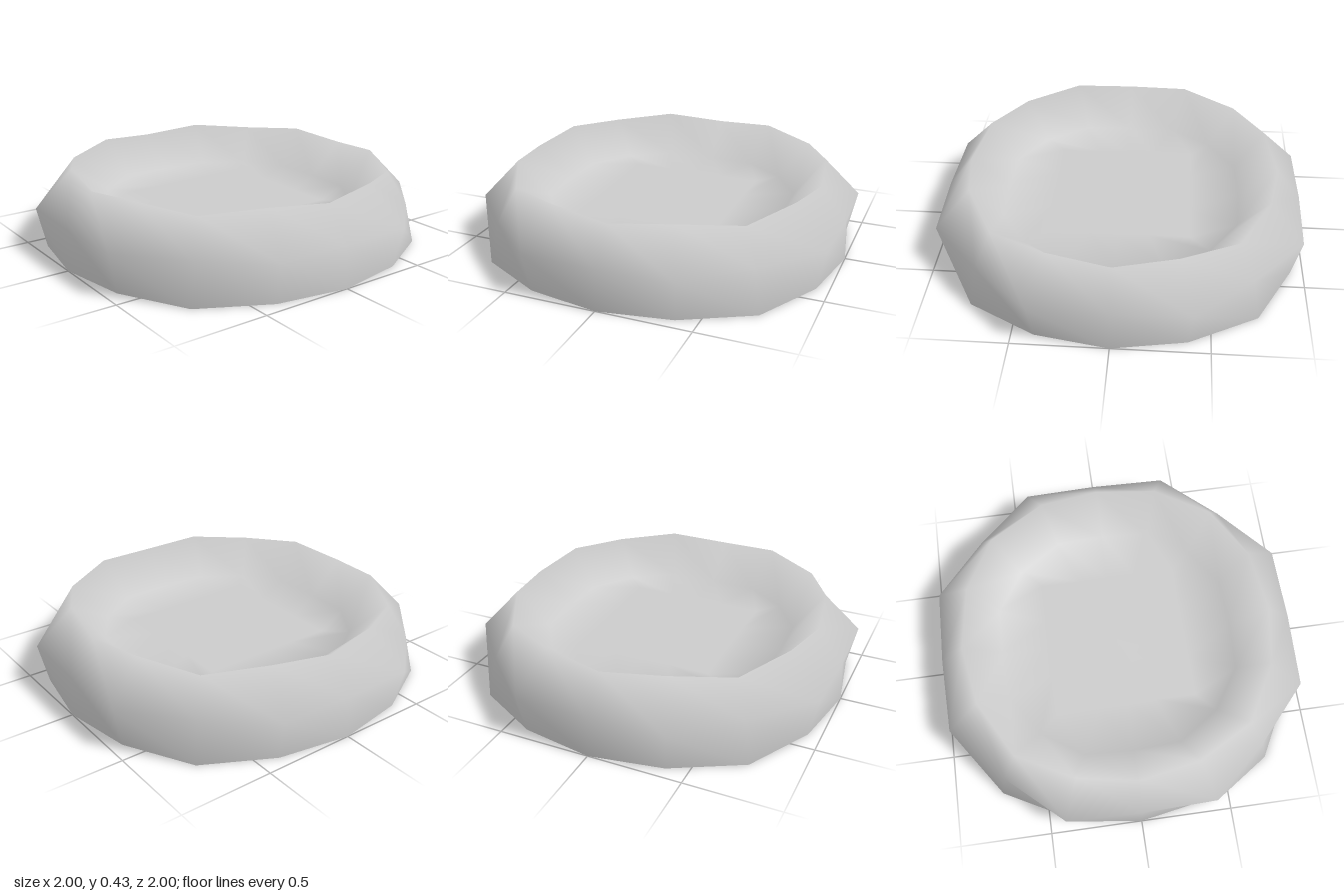
import * as THREE from 'three';

const SIDES = 16;

// A ring's three radii and heights: on the axes, at 22.5 degrees, on the diagonals
function ringPoints({ r, y }) {
  return Array.from({ length: SIDES }, (_, i) => {
    const k = [0, 1, 2, 1][i % 4];
    const a = (i / SIDES) * Math.PI * 2;
    return new THREE.Vector3(Math.cos(a) * r[k], y[k], Math.sin(a) * r[k]);
  });
}

const level = (r, h) => ({ r, y: [h, h, h] });

// Joins successive rings into one smooth skin; rings of zero radius close it
function skin(rings) {
  const points = rings.flatMap(ringPoints);
  const index = [];
  for (let j = 0; j < rings.length - 1; j++) {
    for (let i = 0; i < SIDES; i++) {
      const n = (i + 1) % SIDES;
      const a = j * SIDES + i, b = j * SIDES + n;
      const c = b + SIDES, d = a + SIDES;
      if (rings[j].r[0] > 0) index.push(a, c, b);
      if (rings[j + 1].r[0] > 0) index.push(a, d, c);
    }
  }
  const geometry = new THREE.BufferGeometry().setFromPoints(points);
  geometry.setIndex(index);
  geometry.computeVertexNormals();
  // Normals along the ground edge point straight outward
  points.forEach((p, i) => {
    if (p.y > 0) return;
    p.normalize();
    geometry.attributes.normal.setXYZ(i, p.x, 0, p.z);
  });
  return geometry;
}

export function createModel() {
  const group = new THREE.Group();
  group.name = 'roundCushion';
  const material = new THREE.MeshStandardMaterial({ color: 0xcccccc, side: THREE.DoubleSide });

  const centre = [0, 0, 0];
  const square = [0.38, 0.41, 0.54];

  const body = new THREE.Mesh(
    skin([
      // Hollow underside
      level(centre, 0.165),
      level(square, 0.165),
      level([0.66, 0.69, 0.69], 0.165),
      // Outer wall and wavy rim
      level([1.0, 1.01, 1.05], 0),
      level([0.99, 1.06, 1.0], 0.22),
      { r: [0.85, 0.86, 0.89], y: [0.4, 0.427, 0.4] },
      // Sunken floor
      level([0.65, 0.69, 0.69], 0.22),
      level(square, 0.215),
      level(centre, 0.215),
    ]),
    material
  );
  body.name = 'cushionBody';
  group.add(body);

  return group;
}
